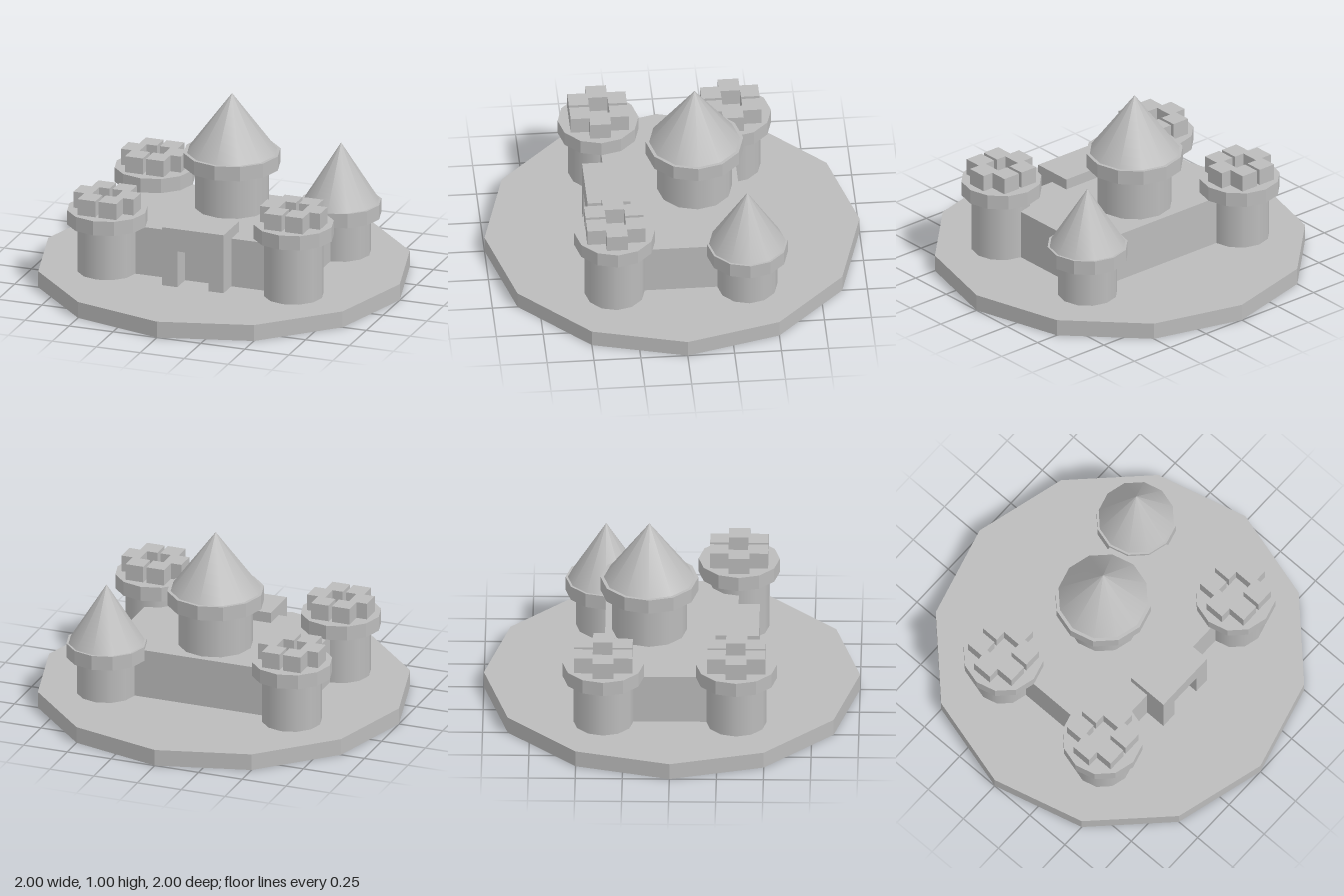
import * as THREE from 'three';

const stone = new THREE.MeshStandardMaterial({ color: 0xbbbbbb });
stone.name = 'stone';

function add(parent, name, geometry, x = 0, y = 0, z = 0) {
  const mesh = new THREE.Mesh(geometry, stone);
  mesh.name = name;
  mesh.position.set(x, y, z);
  parent.add(mesh);
  return mesh;
}

// Twelve-sided drum standing on y = 0, faceted or smooth
function drum(radius, height, faceted) {
  let g = new THREE.CylinderGeometry(radius, radius, height, 12);
  g.translate(0, height / 2, 0);
  if (faceted) {
    g = g.toNonIndexed();
    g.computeVertexNormals();
  }
  return g;
}

function polygon(points) {
  return new THREE.Shape(points.map(([x, y]) => new THREE.Vector2(x, y)));
}

function extrude(shape, depth) {
  return new THREE.ExtrudeGeometry(shape, { depth, bevelEnabled: false });
}

// Half of the cross-shaped battlement: a strip with an outer arm and an inner notch
function battlementHalf(side) {
  const arm = 0.056, inner = 0.009, hole = 0.068, strip = 0.11, outer = 0.171, end = 0.155;
  const outline = [
    [inner, -end], [strip, -end], [strip, -arm], [outer, -arm], [outer, arm], [strip, arm],
    [strip, end], [inner, end], [inner, arm], [hole, arm], [hole, -0.048], [inner, -0.048],
  ].map(([x, y]) => [x * side, y]);
  const g = extrude(polygon(outline), 0.09);
  g.rotateX(-Math.PI / 2);
  return g;
}

// Tower: smooth shaft, wider faceted collar, then a cone roof or battlements
function tower(name, { x, z, radius, collar, collarY, roof }) {
  const group = new THREE.Group();
  group.name = name;
  group.position.set(x, 0, z);
  add(group, 'shaft', drum(radius, collarY - 0.09, false), 0, 0.09, 0);
  add(group, 'collar', drum(collar, 0.08, true), 0, collarY, 0);
  const top = collarY + 0.08;
  if (roof) {
    const cone = new THREE.ConeGeometry(roof.radius, roof.height, 12);
    cone.translate(0, roof.height / 2, 0);
    add(group, 'roof', cone, 0, top, 0);
  } else {
    for (const side of [-1, 1]) {
      add(group, side < 0 ? 'rightBattlement' : 'leftBattlement', battlementHalf(side), 0, top, 0);
    }
  }
  return group;
}

export function createModel() {
  const castle = new THREE.Group();
  castle.name = 'castle';

  // Ground slab and main block
  add(castle, 'base', drum(1, 0.09, true));
  add(castle, 'mainBlock', new THREE.BoxGeometry(1.06, 0.27, 0.705), 0, 0.225, -0.0025);

  // Gatehouse with a doorway
  const gate = polygon([
    [-0.175, 0.09], [-0.088, 0.09], [-0.088, 0.292], [0.088, 0.292],
    [0.088, 0.09], [0.175, 0.09], [0.175, 0.418], [-0.175, 0.418],
  ]);
  add(castle, 'gatehouse', extrude(gate, 0.23), 0, 0, 0.235);

  // Corner towers
  const corner = { radius: 0.16, collar: 0.216 };
  castle.add(
    tower('frontRightTower', { ...corner, x: -0.53, z: 0.35, collarY: 0.36 }),
    tower('frontLeftTower', { ...corner, x: 0.53, z: 0.35, collarY: 0.418 }),
    tower('backRightTower', { ...corner, x: -0.53, z: -0.357, collarY: 0.36 }),
    tower('backLeftTower', {
      ...corner, x: 0.53, z: -0.357, collarY: 0.3, roof: { radius: 0.204, height: 0.328 },
    }),
    // Central keep
    tower('keep', {
      x: 0, z: -0.12, radius: 0.2, collar: 0.26, collarY: 0.594, roof: { radius: 0.242, height: 0.326 },
    }),
  );
  return castle;
}
